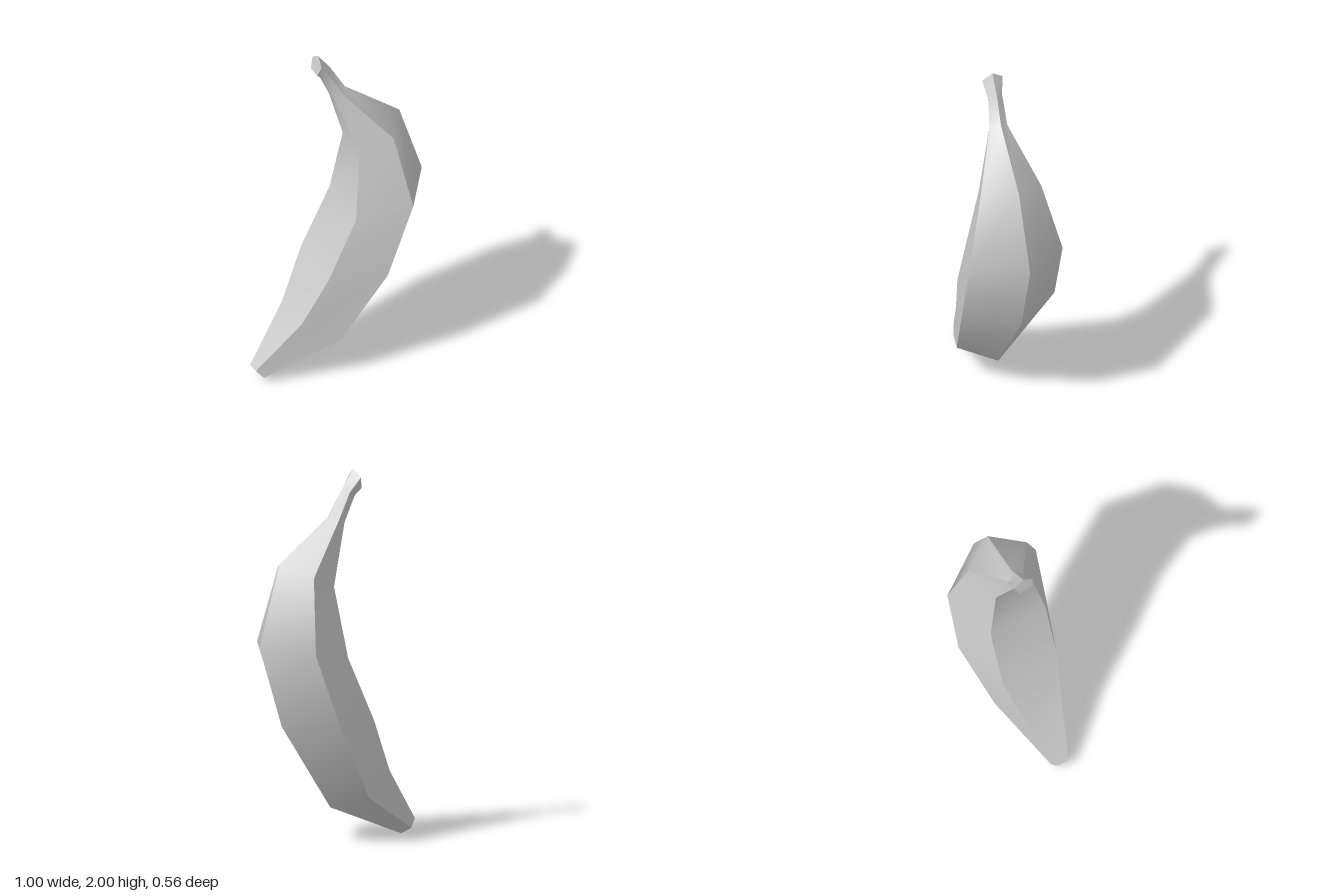
import * as THREE from 'three';

// Cross-sections from stem to tip. Each is a pentagon:
// outer ridge, front side, front inner edge, back inner edge, back side.
const SECTIONS = [
  [[-0.10, 2.00, -0.035], [-0.11, 1.96, 0.02], [-0.125, 1.90, 0.0], [-0.125, 1.90, -0.075], [-0.105, 1.96, -0.095]],
  [[-0.03, 1.90, -0.03], [-0.05, 1.87, 0.01], [-0.09, 1.86, -0.005], [-0.09, 1.86, -0.06], [-0.05, 1.88, -0.07]],
  [[0.05, 1.76, -0.02], [0.02, 1.74, 0.035], [-0.03, 1.72, 0.01], [-0.03, 1.72, -0.05], [0.025, 1.73, -0.068]],
  [[0.36, 1.52, 0.01], [0.24, 1.48, 0.18], [0.068, 1.39, 0.115], [0.078, 1.39, -0.10], [0.26, 1.46, -0.163]],
  [[0.497, 1.09, 0.005], [0.308, 1.07, 0.275], [0.02, 1.01, 0.17], [0.03, 1.01, -0.16], [0.32, 1.06, -0.26]],
  [[0.355, 0.65, -0.005], [0.165, 0.65, 0.258], [-0.13, 0.66, 0.155], [-0.13, 0.66, -0.178], [0.165, 0.65, -0.28]],
  [[0.035, 0.185, -0.01], [-0.08, 0.25, 0.18], [-0.27, 0.37, 0.102], [-0.27, 0.37, -0.13], [-0.08, 0.25, -0.198]],
  [[-0.435, 0.0, -0.015], [-0.46, 0.035, 0.035], [-0.5, 0.08, 0.015], [-0.5, 0.08, -0.05], [-0.46, 0.035, -0.07]],
];

function makeMesh(name, points, index, material) {
  const geometry = new THREE.BufferGeometry();
  geometry.setAttribute('position', new THREE.Float32BufferAttribute(points.flat(), 3));
  geometry.setIndex(index);
  geometry.computeVertexNormals();
  const mesh = new THREE.Mesh(geometry, material);
  mesh.name = name;
  return mesh;
}

// Peel: each side is its own strip, smooth lengthwise with sharp ridges between
function makePeel(material) {
  const points = [];
  const index = [];
  for (let side = 0; side < 5; side++) {
    const start = points.length;
    SECTIONS.forEach((section, i) => {
      points.push(section[side], section[(side + 1) % 5]);
      if (i === 0) return;
      const a = start + (i - 1) * 2;
      index.push(a, a + 1, a + 3, a, a + 3, a + 2);
    });
  }
  return makeMesh('peel', points, index, material);
}

export function createModel() {
  const material = new THREE.MeshStandardMaterial({ color: 0xcccccc });
  const group = new THREE.Group();
  group.name = 'banana';
  group.add(makePeel(material));

  // Flat ends
  group.add(makeMesh('stemEnd', SECTIONS[0], [0, 2, 1, 0, 3, 2, 0, 4, 3], material));
  group.add(makeMesh('blossomEnd', SECTIONS.at(-1), [0, 1, 2, 0, 2, 3, 0, 3, 4], material));
  return group;
}
